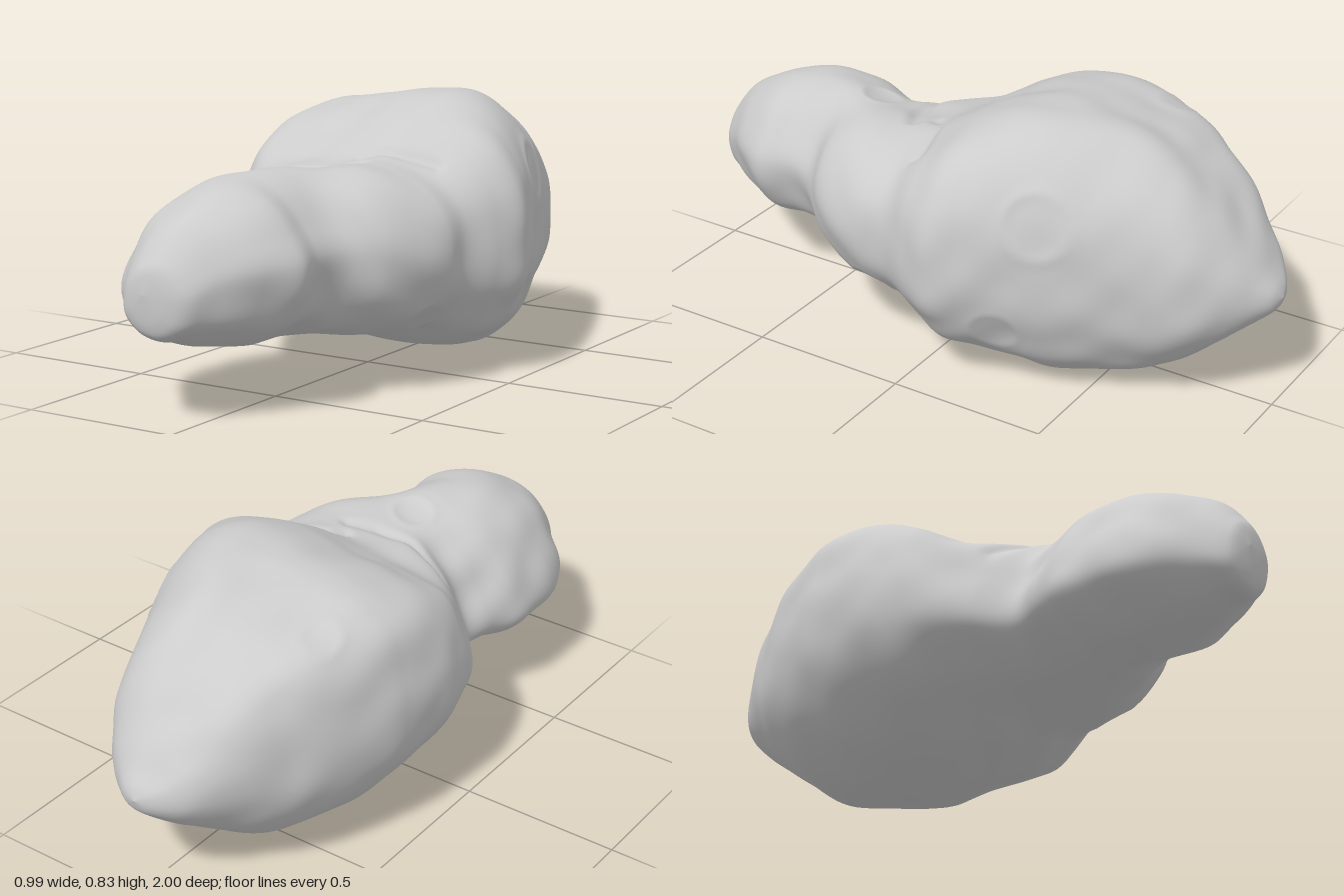
import * as THREE from 'three';

// Cross-sections from back to front: z, xMin, xMax, yMin, yMax
const SECTIONS = [
  [-1, -0.03, -0.03, 0.35, 0.35], [-0.985, -0.085, 0.02, 0.31, 0.385],
  [-0.95, -0.145, 0.07, 0.275, 0.43], [-0.9, -0.2, 0.13, 0.235, 0.5],
  [-0.8, -0.275, 0.21, 0.155, 0.62], [-0.7, -0.33, 0.255, 0.085, 0.705],
  [-0.6, -0.385, 0.295, 0.035, 0.765], [-0.4, -0.46, 0.385, 0.002, 0.82],
  [-0.3, -0.48, 0.42, 0.01, 0.83], [-0.2, -0.49, 0.46, 0.03, 0.815],
  [-0.1, -0.49, 0.493, 0.055, 0.78], [0, -0.465, 0.46, 0.09, 0.725],
  [0.1, -0.42, 0.415, 0.13, 0.67], [0.2, -0.36, 0.415, 0.15, 0.66],
  [0.3, -0.28, 0.385, 0.16, 0.665], [0.4, -0.3, 0.335, 0.178, 0.665],
  [0.5, -0.345, 0.245, 0.178, 0.668], [0.6, -0.35, 0.215, 0.173, 0.67],
  [0.7, -0.345, 0.235, 0.182, 0.655], [0.8, -0.31, 0.18, 0.205, 0.62],
  [0.9, -0.23, 0.1, 0.235, 0.56], [0.965, -0.185, 0.045, 0.25, 0.485],
  [0.99, -0.15, -0.01, 0.29, 0.445], [1, -0.09, -0.09, 0.38, 0.38],
];
// Normalised outlines of the large lobe and the small lobe, counter-clockwise
const BODY = [[1, -0.05], [0.93, 0.48], [0.72, 0.81], [0.37, 1], [-0.15, 0.94], [-0.81, 0.77], [-0.99, 0.3],
  [-0.98, -0.27], [-0.71, -0.7], [-0.25, -0.95], [0.24, -1], [0.69, -0.84], [0.93, -0.48]];
const HEAD = [[1, 0.1], [0.82, 0.5], [0.55, 0.82], [0.2, 1], [-0.14, 0.94], [-0.5, 0.74], [-0.83, 0.25],
  [-1, -0.47], [-0.53, -0.88], [-0.05, -1], [0.22, -0.98], [0.55, -0.82], [0.82, -0.55]];
// Craters: centre (snapped to the surface), radius, depth
const CRATERS = [
  [0.4, 0.6, -0.42, 0.1, 0.009], [0.35, 0.23, -0.26, 0.075, 0.005], [-0.02, 0.66, 0.38, 0.065, 0.007],
  [-0.3, 0.72, -0.5, 0.06, 0.007], [0.3, 0.24, 0.2, 0.07, 0.005],
];
// Grooves across the top of the neck, as x, z points
const GROOVES = [
  [[-0.27, 0.2], [-0.22, 0.22], [-0.1, 0.25], [0.02, 0.23], [0.1, 0.19]],
  [[0.06, 0.13], [0.09, 0.09], [0.18, 0.08], [0.28, 0.06]],
];
const ROWS = 240, COLS = 180;

// Catmull-Rom interpolation through the section table
function sectionAt(t) {
  const n = SECTIONS.length - 1, f = t * n, i = Math.min(Math.floor(f), n - 1), u = f - i;
  const at = (k) => SECTIONS[THREE.MathUtils.clamp(k, 0, n)];
  const [a, b, c, d] = [at(i - 1), at(i), at(i + 1), at(i + 2)];
  return b.map((_, k) => 0.5 * (2 * b[k] + (c[k] - a[k]) * u
    + (2 * a[k] - 5 * b[k] + 4 * c[k] - d[k]) * u * u + (3 * b[k] - a[k] - 3 * c[k] + d[k]) * u ** 3));
}

// Gentle lumps, and fine streaks running along the rock
function lumps({ x, y, z }) {
  return 0.003 * Math.sin(9 * x + 4 * Math.sin(5 * z)) * Math.sin(8 * y + 6 * z + 1)
    + 0.003 * Math.sin(17 * x - 7 * y + 3) * Math.cos(13 * z + 5 * y)
    + 0.003 * Math.sin(30 * x + 24 * y + 2 * Math.sin(6 * z)) * Math.sin(8 * z + 5 * x)
    + 0.0015 * Math.sin(31 * y + 12 * x) * Math.sin(27 * z + 9 * x);
}

function segmentDistance(x, z, [ax, az], [bx, bz]) {
  const dx = bx - ax, dz = bz - az;
  const t = THREE.MathUtils.clamp(((x - ax) * dx + (z - az) * dz) / (dx * dx + dz * dz), 0, 1);
  return Math.hypot(x - ax - t * dx, z - az - t * dz);
}

function grooveDepth(p, normal) {
  if (normal.y < 0.2 || p.y < 0.5) return 0;
  let d = Infinity;
  for (const line of GROOVES) {
    for (let i = 1; i < line.length; i++) d = Math.min(d, segmentDistance(p.x, p.z, line[i - 1], line[i]));
  }
  return 0.014 * Math.exp(-((d / 0.018) ** 2)) * Math.min(1, (normal.y - 0.2) * 3);
}

function createRockGeometry() {
  const positions = [], index = [];
  // Loft the outline along z, blending from large lobe to small lobe (sooner on the right side)
  for (let i = 0; i <= ROWS; i++) {
    const [z, x0, x1, y0, y1] = sectionAt(i / ROWS);
    const round = THREE.MathUtils.smoothstep(Math.abs(z), 0.8, 1) * 0.6;
    const outline = BODY.map(([u, v], k) => {
      const start = 0.08 + 0.1 * u;
      const blend = THREE.MathUtils.smoothstep(z, start, start + 0.38);
      const q = new THREE.Vector3(u, v, 0).lerp(new THREE.Vector3(...HEAD[k], 0), blend);
      return q.lerp(q.clone().normalize(), round);
    });
    const ring = new THREE.CatmullRomCurve3(outline, true).getPoints(COLS);
    for (let j = 0; j < COLS; j++) {
      positions.push((x0 + x1) / 2 + ring[j].x * (x1 - x0) / 2, (y0 + y1) / 2 + ring[j].y * (y1 - y0) / 2, z);
      const a = i * COLS + j, b = i * COLS + (j + 1) % COLS;
      if (i > 0 && i < ROWS) index.push(a, b, a + COLS);
      if (i < ROWS - 1) index.push(b, b + COLS, a + COLS);
    }
  }
  const geometry = new THREE.BufferGeometry();
  geometry.setAttribute('position', new THREE.Float32BufferAttribute(positions, 3));
  geometry.setIndex(index);
  geometry.computeVertexNormals();

  // Displace along the normals: lumps, grooves and craters
  const pos = geometry.attributes.position, nor = geometry.attributes.normal;
  const points = Array.from({ length: pos.count }, (_, i) => new THREE.Vector3().fromBufferAttribute(pos, i));
  const craters = CRATERS.map(([x, y, z, r, depth]) => {
    const c = new THREE.Vector3(x, y, z);
    const centre = points.reduce((m, p) => (p.distanceToSquared(c) < m.distanceToSquared(c) ? p : m));
    return { centre: centre.clone(), r, depth };
  });
  const n = new THREE.Vector3();
  points.forEach((p, i) => {
    n.fromBufferAttribute(nor, i);
    let h = lumps(p) * (1 - THREE.MathUtils.smoothstep(Math.abs(p.z), 0.85, 0.99)) - grooveDepth(p, n);
    for (const { centre, r, depth } of craters) {
      const d = p.distanceTo(centre) / r;
      if (d < 1) h -= depth * (1 - d * d);
      h += 0.3 * depth * Math.exp(-(((d - 1) / 0.2) ** 2));
    }
    // Pole vertices share one point, so they stay put
    if (i >= COLS && i < points.length - COLS) p.addScaledVector(n, h);
    pos.setXYZ(i, p.x, Math.max(0, p.y), p.z);
  });
  geometry.computeVertexNormals();
  // Collapsed end rings get a plain axial normal
  for (let j = 0; j < COLS; j++) {
    nor.setXYZ(j, 0, 0, -1);
    nor.setXYZ(ROWS * COLS + j, 0, 0, 1);
  }
  return geometry;
}

export function createModel() {
  const group = new THREE.Group();
  group.name = 'asteroid';
  const rock = new THREE.Mesh(createRockGeometry(), new THREE.MeshStandardMaterial({ color: 0xcccccc }));
  rock.name = 'rockBody';
  group.add(rock);
  return group;
}
